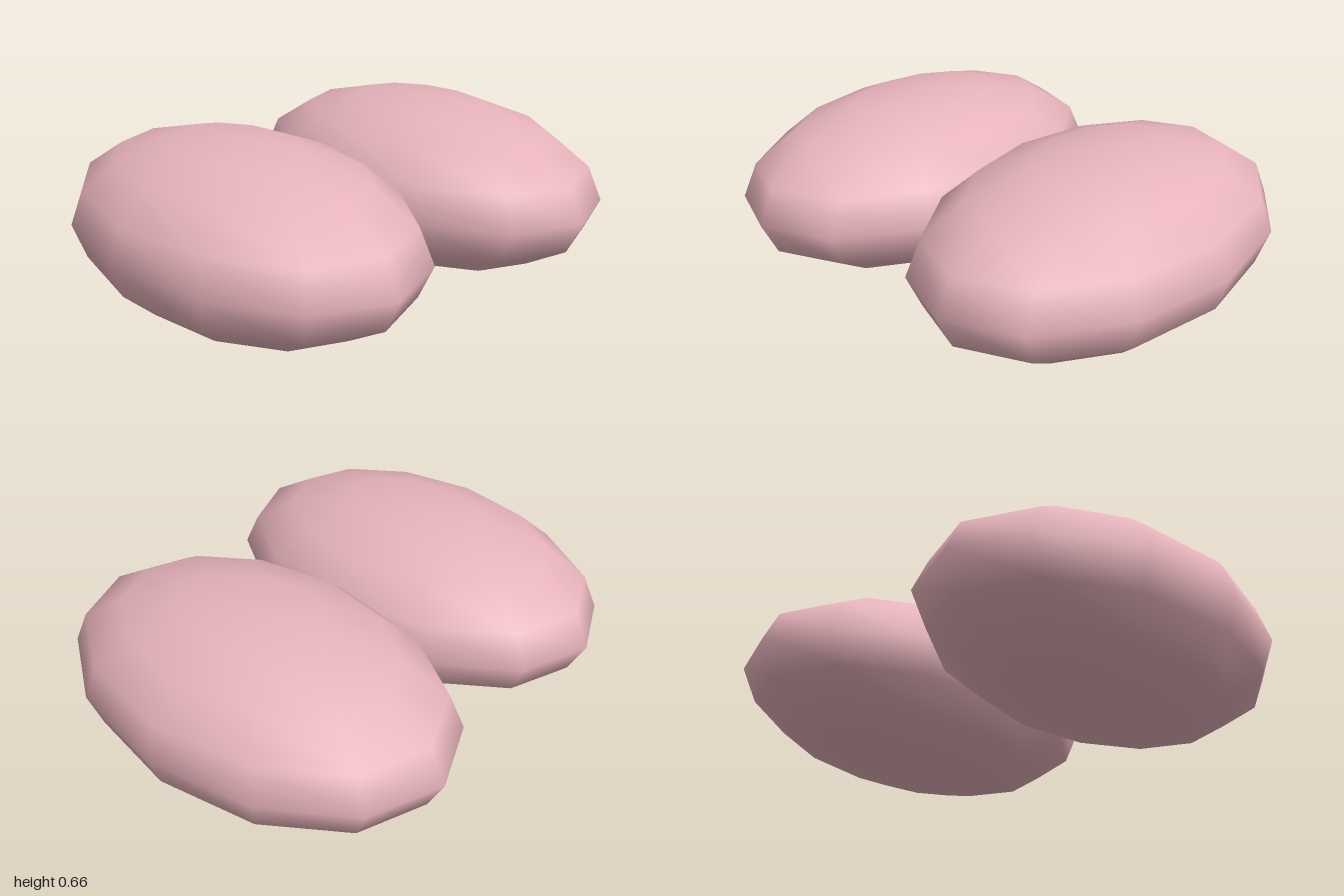
import * as THREE from 'three';

export function createModel() {
  const model = new THREE.Group();
  model.name = 'pairedLobes';

  const pink = new THREE.MeshStandardMaterial({ color: 0xe8b4bc });
  pink.name = 'rosePink';

  // One stretched, smooth low-poly ellipsoid, shared by both lobes
  const lobe = new THREE.SphereGeometry(1, 12, 8);
  lobe.scale(0.536, 0.332, 0.818);

  // Mirrored lobes that overlap slightly along the middle
  for (const [name, side] of [['leftLobe', 1], ['rightLobe', -1]]) {
    const mesh = new THREE.Mesh(lobe, pink);
    mesh.name = name;
    mesh.position.set(side * 0.464, 0.334, 0);
    model.add(mesh);
  }
  return model;
}
